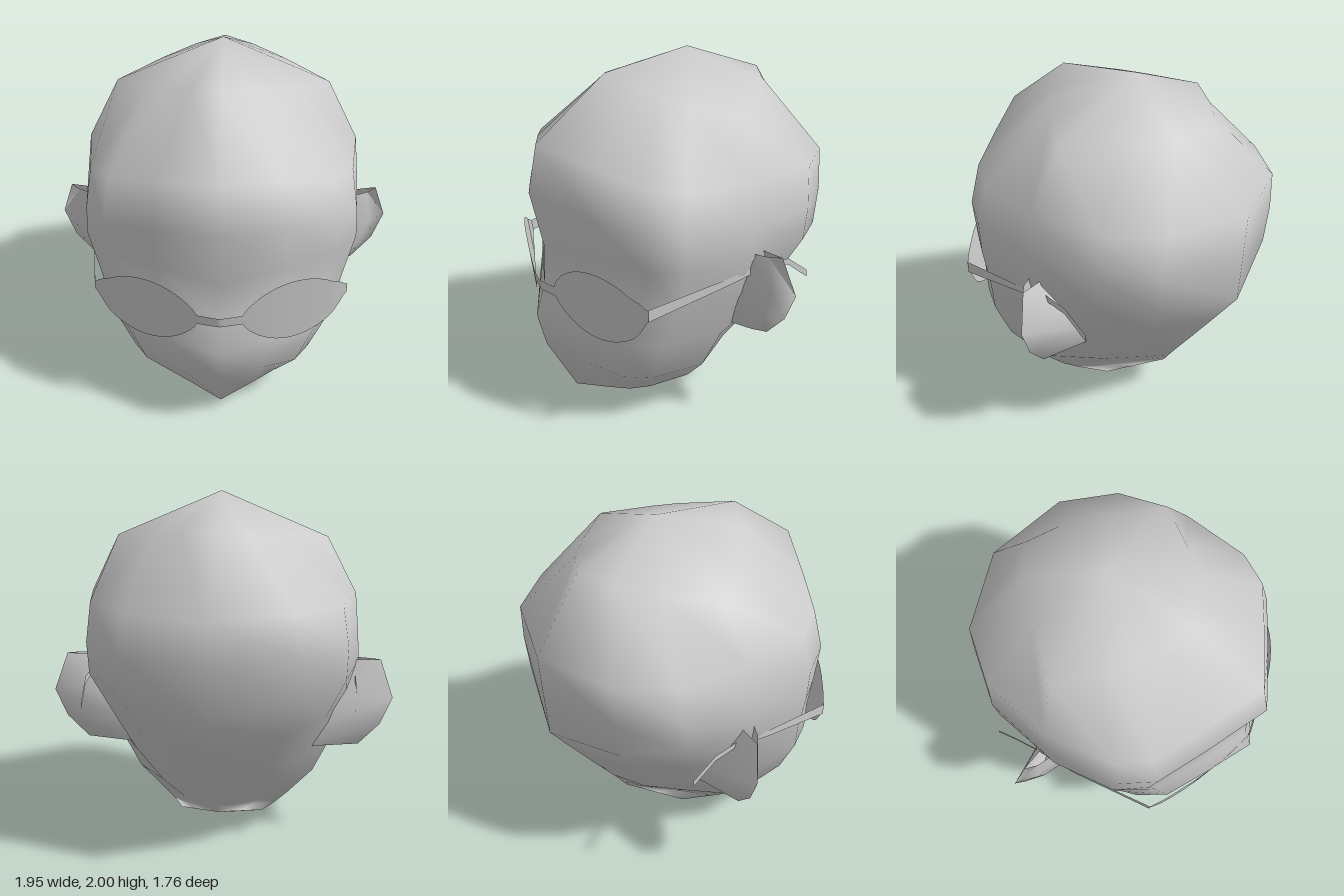
import * as THREE from 'three';
import { mergeVertices } from 'three/addons/utils/BufferGeometryUtils.js';

const grey = new THREE.MeshStandardMaterial({ color: 0xcccccc, side: THREE.DoubleSide });
grey.name = 'plain grey';

// Smooth surface through rows of points (top to bottom), optionally closed around.
function surface(name, rows, closed = false) {
  const n = rows[0].length, index = [];
  for (let i = 0; i < rows.length - 1; i++) {
    for (let j = 0; j < (closed ? n : n - 1); j++) {
      const k = (j + 1) % n;
      const a = i * n + j, b = i * n + k, c = a + n, d = b + n;
      index.push(a, c, d, a, d, b);
    }
  }
  let geo = new THREE.BufferGeometry();
  geo.setAttribute('position', new THREE.Float32BufferAttribute(rows.flat(2), 3));
  geo.setIndex(index);
  geo = mergeVertices(geo);
  geo.computeVertexNormals();
  const mesh = new THREE.Mesh(geo, grey);
  mesh.name = name;
  return mesh;
}

// Half outline of a head section: x as a share of the width, z of the depth.
const OUTLINE = [[0, 1], [0.45, 0.81], [0.8, 0.65], [0.95, 0.45], [1, 0], [0.92, -0.5], [0.63, -0.82], [0, -1]];

// Section with its own height and depth at front, side and back.
// Fullness runs from 0 (diamond) to 1 (rounded outline), for the front and the rear.
function headRing([yF, zF, yS, w, zS, yB, zB, fullF, fullB]) {
  const half = OUTLINE.map(([u, v]) => {
    const [yEnd, zEnd, full] = v >= 0 ? [yF, zF, fullF] : [yB, zB, fullB];
    const x = THREE.MathUtils.lerp(1 - Math.abs(v), u, full);
    return [x * w, yS + (yEnd - yS) * (1 - x), zS + (zEnd - zS) * Math.abs(v)];
  });
  const other = half.slice(1, -1).reverse().map(([x, y, z]) => [-x, y, z]);
  return [...half, ...other];
}

function makeHead() {
  const head = new THREE.Group();
  head.name = 'head';
  // yFront, zFront, ySide, halfWidth, zSide, yBack, zBack, front fullness, rear fullness
  const rings = [
    [2.0, -0.12, 2.0, 0, -0.12, 2.0, -0.12, 1, 1],
    [1.92, 0.41, 1.75, 0.59, -0.1, 1.82, -0.61, 0.35, 0.25],
    [1.6, 0.83, 1.43, 0.755, -0.05, 1.4, -0.88, 0.95, 0.95],
    [1.34, 0.885, 1.2, 0.775, -0.02, 1.17, -0.868, 1, 1],
    [1.0, 0.81, 1.03, 0.785, 0, 0.87, -0.85, 1, 0.95],
    [0.78, 0.825, 0.8, 0.72, 0.03, 0.65, -0.69, 1, 0.8],
    [0.6, 0.88, 0.55, 0.65, 0.08, 0.46, -0.55, 1, 0.6],
    [0.4, 0.83, 0.3, 0.53, 0.12, 0.34, -0.46, 1, 0.35],
    [0.07, 0.65, 0.15, 0.38, 0.12, 0.25, -0.395, 1, 0.15],
    [0.03, 0.55, 0.11, 0.31, 0.06, 0.22, -0.375, 1, 0.05],
    [0.003, 0.12, 0.12, 0.24, -0.11, 0.2, -0.36, 0, 0],
  ].map(headRing);
  head.add(surface('skull', rings, true));

  // Flat cut where the neck would join
  const rim = rings.at(-1);
  const centre = rim.map(() => [0, 0.105, -0.12]);
  head.add(surface('neckCap', [rim, centre], true));
  return head;
}

// Wedge-shaped ear: front root, inner fold, rim, back root sunk into the head
function makeEar(side) {
  const rows = [
    [[0.74, 1.05, -0.02], [0.7, 0.85, 0], [0.64, 0.68, 0], [0.58, 0.56, -0.02]],
    [[0.85, 1.055, -0.07], [0.88, 0.85, -0.08], [0.82, 0.69, -0.075], [0.72, 0.56, -0.08]],
    [[0.905, 1.06, -0.12], [0.975, 0.85, -0.165], [0.91, 0.69, -0.15], [0.79, 0.56, -0.13]],
    [[0.74, 1.05, -0.1], [0.66, 0.85, -0.18], [0.54, 0.68, -0.22], [0.45, 0.56, -0.22]],
  ].map((row) => row.map(([x, y, z]) => [side * x, y, z]));
  return surface(side > 0 ? 'leftEar' : 'rightEar', rows);
}

function makeGlasses() {
  const glasses = new THREE.Group();
  glasses.name = 'glasses';

  // Lenses and bridge as one curved sheet, leaning forward at the top
  const top = [], bottom = [];
  for (let i = 0; i <= 92; i++) {
    const x = -0.69 + (1.38 * i) / 92, r = Math.abs(x);
    const u = (r - 0.4) / 0.28;
    const h = 0.03 + 0.175 * Math.max(0, 1 - u * u) ** 0.8;
    const y = 0.785 + 0.035 * THREE.MathUtils.smoothstep(r, 0.6, 0.69);
    const z = 0.85 - 0.21 * r - 0.29 * r * r;
    top.push([x, y + h, z + 0.13 * h]);
    bottom.push([x, y - h, z - 0.13 * h]);
  }
  glasses.add(surface('lenses', [top, bottom]));

  // Flat arms that pass the ears and hook down behind them: x, y, z, half height
  const arm = [
    [0.69, 0.82, 0.57, 0.035], [0.755, 0.92, 0.1, 0.02], [0.76, 0.96, -0.13, 0.018],
    [0.765, 0.94, -0.28, 0.018], [0.76, 0.83, -0.42, 0.02],
  ];
  for (const s of [1, -1]) {
    const edge = (d) => arm.map(([x, y, z, h]) => [s * x, y + d * h, z]);
    glasses.add(surface(s > 0 ? 'leftArm' : 'rightArm', [edge(1), edge(-1)]));
  }
  return glasses;
}

export function createModel() {
  const model = new THREE.Group();
  model.name = 'headWithGlasses';
  model.add(makeHead(), makeEar(1), makeEar(-1), makeGlasses());
  return model;
}
